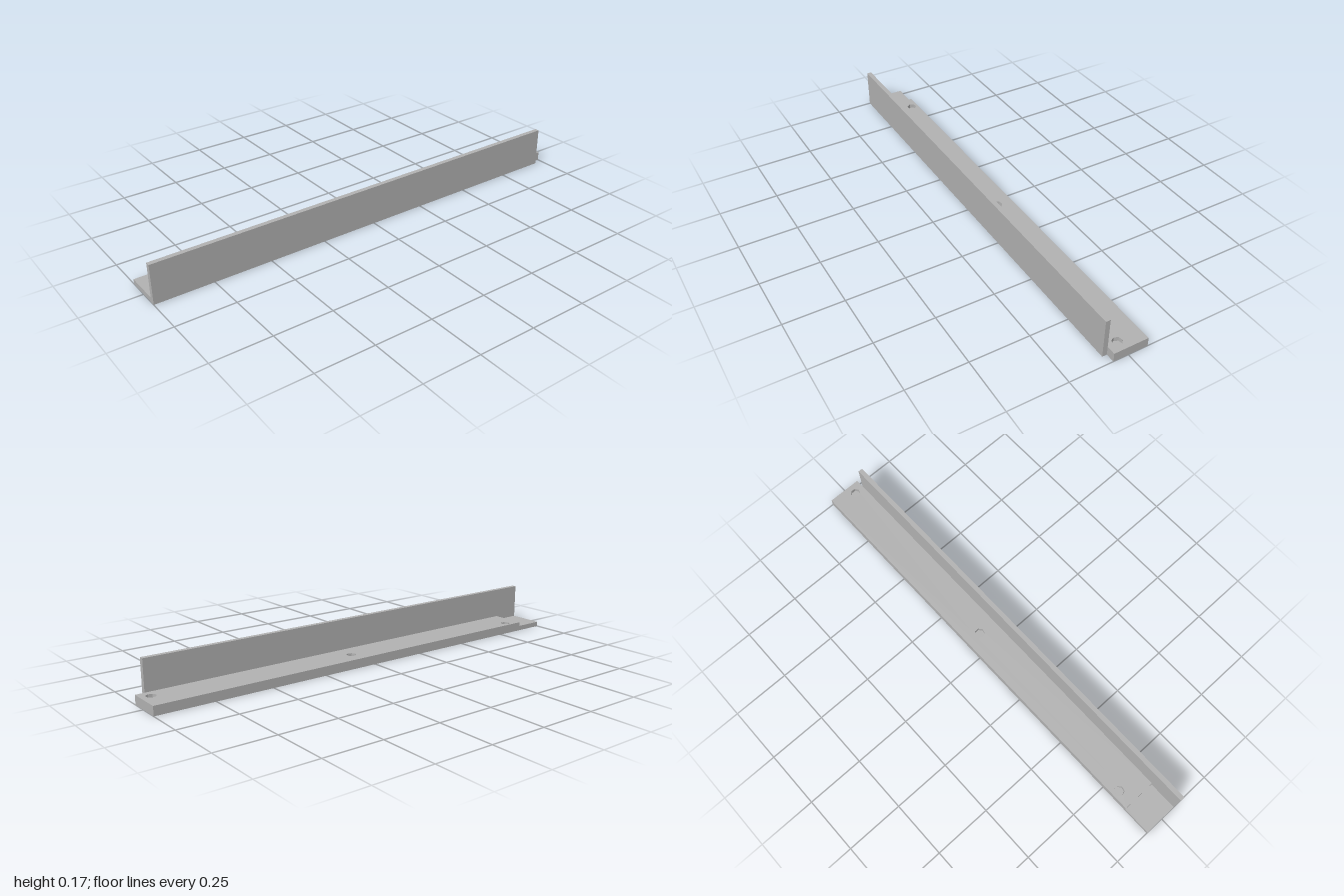
import * as THREE from 'three';

export function createModel() {
  const model = new THREE.Group();
  const grey = new THREE.MeshStandardMaterial({ color: 0xb2b2b2 });
  grey.name = 'plain grey';

  function add(name, geometry) {
    const mesh = new THREE.Mesh(geometry, grey);
    mesh.name = name;
    model.add(mesh);
  }

  // Box from its lower and upper limits on each axis
  function block(x0, x1, y0, y1, z0, z1) {
    return new THREE.BoxGeometry(x1 - x0, y1 - y0, z1 - z0)
      .translate((x0 + x1) / 2, (y0 + y1) / 2, (z0 + z1) / 2);
  }

  const left = 0.065, right = -0.085, step = 0.021, top = 0.039, stepZ = 0.875;

  // Thin plate running the full length
  add('basePlate', block(right, left, 0, step, -1, 1));

  // Upright flange along one edge, stopping short of the back
  add('uprightFlange', block(left, 0.085, 0, 0.17, -0.962, 1));

  // Raised layer with three blind screw holes; shape y becomes z
  const raised = new THREE.Shape([
    new THREE.Vector2(right, -1), new THREE.Vector2(left, -1),
    new THREE.Vector2(left, stepZ), new THREE.Vector2(right, stepZ),
  ]);
  const sides = 7, radius = 0.021;
  for (const [x, z] of [[0.02, -0.957], [-0.017, -0.074], [-0.055, 0.808]]) {
    const points = [];
    for (let i = 0; i < sides; i++) {
      const a = Math.PI / 2 - (i / sides) * Math.PI * 2;
      points.push(new THREE.Vector2(x + radius * Math.cos(a), z + radius * Math.sin(a)));
    }
    raised.holes.push(new THREE.Path(points));
  }
  add('drilledPlate', new THREE.ExtrudeGeometry(raised, { depth: top - step, bevelEnabled: false })
    .rotateX(Math.PI / 2).translate(0, top, 0));

  return model;
}
